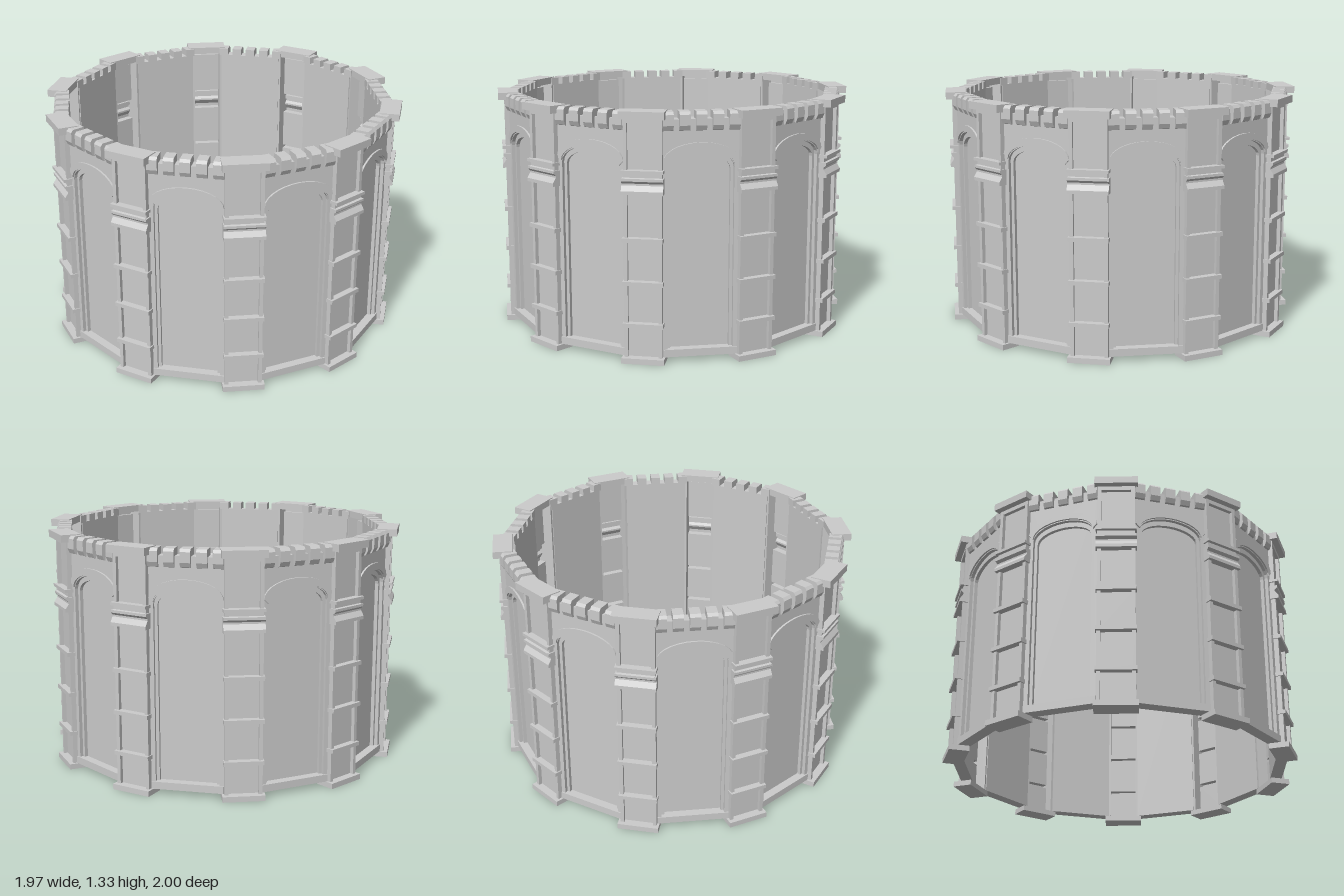
import * as THREE from 'three';
import { mergeGeometries } from 'three/addons/utils/BufferGeometryUtils.js';

const SIDES = 10;
const grey = new THREE.MeshStandardMaterial({ color: 0xcccccc, flatShading: true });
const greyThin = new THREE.MeshStandardMaterial({ color: 0xcccccc, flatShading: true, side: THREE.DoubleSide });

// In every bay or pier: x runs along the wall, y is up, z is the distance from the centre.
function box(x0, x1, y0, y1, z0, z1) {
  const g = new THREE.BoxGeometry(x1 - x0, y1 - y0, z1 - z0);
  return g.translate((x0 + x1) / 2, (y0 + y1) / 2, (z0 + z1) / 2).toNonIndexed();
}

// Extrudes a [z, y] outline along x
function sideways(points, x0, x1) {
  const shape = new THREE.Shape(points.map(p => new THREE.Vector2(p[0], p[1])));
  const g = new THREE.ExtrudeGeometry(shape, { depth: x1 - x0, bevelEnabled: false });
  return g.rotateY(-Math.PI / 2).translate(x1, 0, 0);
}

// Points over a flattened arch, from right to left
function archPoints(halfWidth, spring, rise, n = 14) {
  return Array.from({ length: n + 1 }, (_, i) => {
    const a = Math.PI * i / n;
    return new THREE.Vector2(halfWidth * Math.cos(a), spring + rise * Math.sin(a));
  });
}

// Wall layer with an arched opening
function archedWall(halfWidth, spring, rise, z0, z1) {
  const W = 0.197;
  const s = new THREE.Shape();
  s.moveTo(-W, 0.03).lineTo(W, 0.03).lineTo(W, 1.28).lineTo(-W, 1.28).closePath();
  s.holes.push(new THREE.Path([
    new THREE.Vector2(-halfWidth, 0.07), new THREE.Vector2(halfWidth, 0.07),
    ...archPoints(halfWidth, spring, rise)]));
  return new THREE.ExtrudeGeometry(s, { depth: z1 - z0, bevelEnabled: false }).translate(0, 0, z0);
}

// Raised moulding following the arch
function archMoulding() {
  const s = new THREE.Shape([
    ...archPoints(0.195, 1.065, 0.097), ...archPoints(0.172, 1.04, 0.088).reverse()]);
  return new THREE.ExtrudeGeometry(s, { depth: 0.025, bevelEnabled: false }).translate(0, 0, 0.91);
}

// Five battlements on sloped corbels
function battlements() {
  const n = 5, w = 0.055, gap = 0.03, total = n * w + (n - 1) * gap;
  const profile = [[0.865, 1.275], [0.92, 1.275], [0.92, 1.22], [0.935, 1.225],
    [0.947, 1.25], [0.947, 1.305], [0.935, 1.32], [0.865, 1.32]];
  return mergeGeometries(Array.from({ length: n }, (_, i) => {
    const x = -total / 2 + i * (w + gap);
    return sideways(profile, x, x + w);
  }));
}

// Front profile of a pier, bottom to top, for a given face depth
const BANDS = [0.195, 0.42, 0.65];
function pierProfile(face) {
  const p = [[face, 0.03]];
  for (const y of BANDS) p.push([face, y], [0.982, y], [0.982, y + 0.022], [face, y + 0.022]);
  p.push([face, 0.9], [0.985, 0.9], [0.985, 0.918], [0.966, 0.945], [0.966, 0.955],
    [0.98, 0.968], [0.98, 0.982], [0.966, 0.985], [0.966, 1.008], [0.985, 1.008],
    [0.985, 1.024], [face, 1.024], [face, 1.262], [0.966, 1.262], [0.966, 1.286]);
  return p;
}

// Thin recessed face of a pier, open to the inside
function pierFace() {
  const p = pierProfile(0.945).reverse();
  const g = new THREE.PlaneGeometry(0.162, 1, 1, p.length - 1);
  const pos = g.attributes.position;
  for (let i = 0; i < pos.count; i++) {
    const [z, y] = p[Math.floor(i / 2)];
    pos.setXYZ(i, pos.getX(i), y, z);
  }
  const flat = g.toNonIndexed();
  flat.computeVertexNormals();
  return flat;
}

// Upright stiles at both edges of a pier, with the ends of its bands
function pierStiles() {
  const outline = [[0.885, 0.03], ...pierProfile(0.966), [0.885, 1.286]];
  const parts = [];
  for (const s of [-1, 1]) {
    const span = (a, b) => s > 0 ? [a, b] : [-b, -a];
    parts.push(sideways(outline, ...span(0.08, 0.1)));
    for (const y of BANDS) parts.push(box(...span(0.098, 0.106), y, y + 0.022, 0.92, 0.982));
    parts.push(sideways([[0.92, 0.9], [0.985, 0.9], [0.985, 0.918], [0.966, 0.945],
      [0.966, 0.955], [0.98, 0.968], [0.98, 0.982], [0.92, 0.982]], ...span(0.098, 0.108)));
    parts.push(box(...span(0.098, 0.108), 1.008, 1.024, 0.92, 0.985));
  }
  return mergeGeometries(parts);
}

export function createModel() {
  const model = new THREE.Group();
  model.name = 'roundArcadeWall';

  const bayParts = {
    backPanel: box(-0.185, 0.185, 0.03, 1.28, 0.865, 0.885),
    innerArch: archedWall(0.155, 1.02, 0.075, 0.88, 0.905),
    outerArch: archedWall(0.172, 1.03, 0.093, 0.9, 0.925),
    archMoulding: archMoulding(),
    sill: box(-0.195, 0.195, 0.03, 0.07, 0.88, 0.932),
    battlements: battlements(),
  };
  const pierParts = {
    pierFace: pierFace(),
    pierStiles: pierStiles(),
    pierBase: box(-0.113, 0.113, 0, 0.03, 0.88, 0.99),
    pierCap: box(-0.117, 0.117, 1.285, 1.325, 0.89, 1),
  };

  const addRing = (name, parts, offset) => {
    for (let i = 0; i < SIDES; i++) {
      const group = new THREE.Group();
      group.name = name;
      group.rotation.y = (i + offset) * 2 * Math.PI / SIDES;
      for (const [part, geometry] of Object.entries(parts)) {
        const mesh = new THREE.Mesh(geometry, part === 'pierFace' ? greyThin : grey);
        mesh.name = part;
        group.add(mesh);
      }
      model.add(group);
    }
  };
  addRing('pier', pierParts, 0);
  addRing('wallBay', bayParts, 0.5);
  return model;
}
